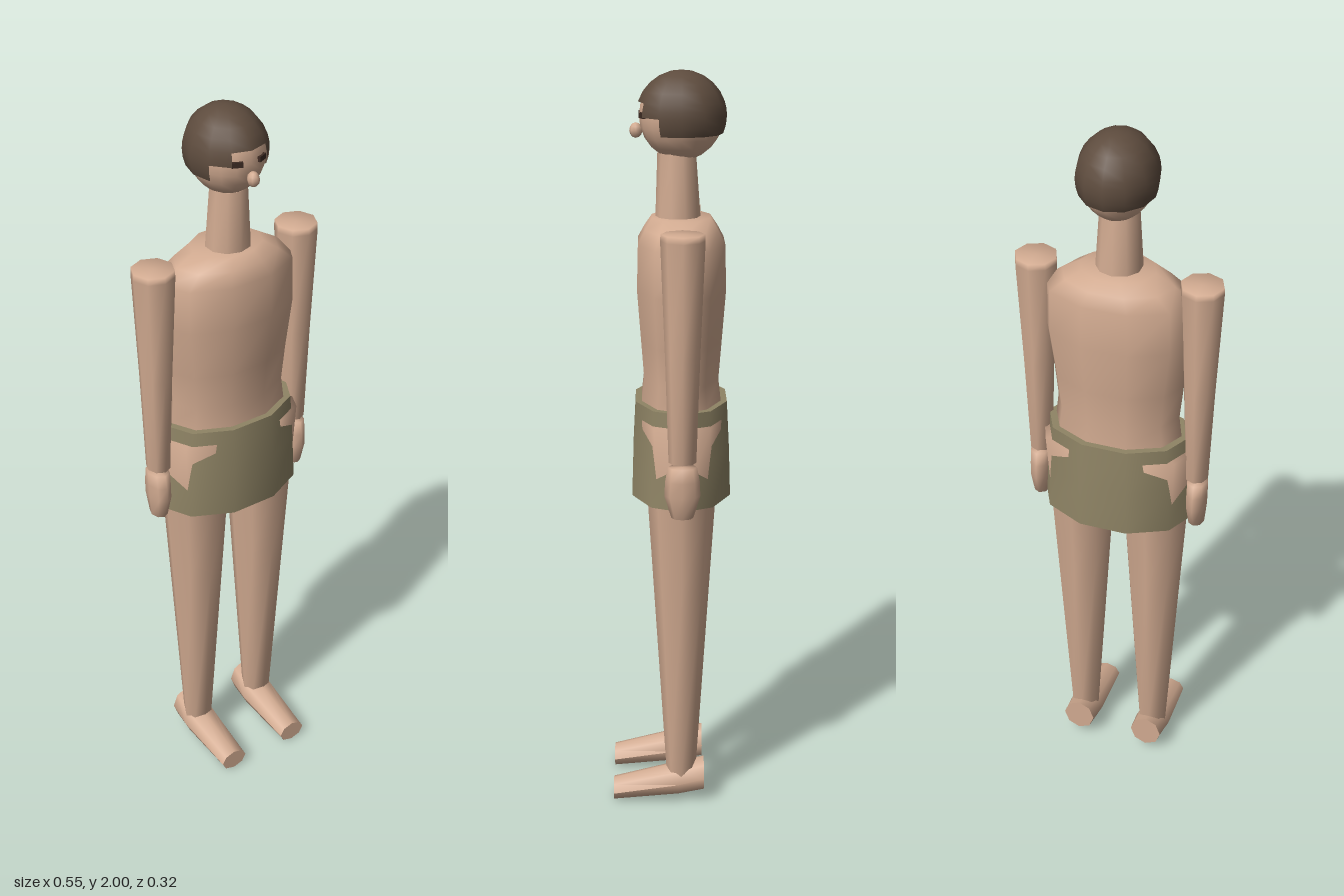
import * as THREE from 'three';
import { toCreasedNormals } from 'three/addons/utils/BufferGeometryUtils.js';

const AXIS_Z = -0.027; // body axis

function material(name, color) {
  const m = new THREE.MeshStandardMaterial({ color });
  m.name = name;
  return m;
}

// Closed smooth solid through elliptical rings [y, rx, rz, cz]
function loft(rings, sides, turn = 0) {
  const pos = [], index = [];
  for (const [y, rx, rz, cz = 0] of rings) {
    for (let i = 0; i < sides; i++) {
      const a = turn + (i / sides) * Math.PI * 2;
      pos.push(Math.sin(a) * rx, y, Math.cos(a) * rz + cz);
    }
  }
  const last = (rings.length - 1) * sides;
  const bottom = pos.length / 3, top = bottom + 1;
  for (const r of [rings[0], rings[rings.length - 1]]) pos.push(0, r[0], r[3] || 0);
  for (let i = 0; i < sides; i++) {
    const j = (i + 1) % sides;
    for (let r = 0; r < last; r += sides) {
      index.push(r + i, r + j, r + sides + j, r + i, r + sides + j, r + sides + i);
    }
    index.push(bottom, j, i, top, last + i, last + j);
  }
  const g = new THREE.BufferGeometry();
  g.setAttribute('position', new THREE.Float32BufferAttribute(pos, 3));
  g.setIndex(index);
  g.computeVertexNormals();
  return g;
}

export function createModel() {
  const model = new THREE.Group();
  model.name = 'figure';
  const skin = material('skin', 0xd2ab91);
  const hair = material('hair', 0x5e4c3e);
  hair.side = THREE.DoubleSide;
  const cloth = material('shorts cloth', 0x8f8465);
  const dark = material('eye', 0x3c2a22);

  function add(name, geometry, mat, x = 0, y = 0, z = AXIS_Z, parent = model) {
    const mesh = new THREE.Mesh(geometry, mat);
    mesh.name = name;
    mesh.position.set(x, y, z);
    parent.add(mesh);
    return mesh;
  }

  // Trunk, ten-sided with points at the flanks
  const flank = Math.PI / 10;
  add('torso', loft([
    [0.92, 0.175, 0.11], [1.14, 0.175, 0.11], [1.2, 0.168, 0.103], [1.3, 0.178, 0.111],
    [1.44, 0.198, 0.122], [1.56, 0.196, 0.119], [1.595, 0.15, 0.1], [1.625, 0.1, 0.08],
  ], 10, flank), skin);
  add('shorts', toCreasedNormals(loft([
    [0.88, 0.21, 0.138], [1.01, 0.203, 0.134], [1.14, 0.195, 0.127],
  ], 10, flank), 0.9), cloth);
  add('neck', toCreasedNormals(loft([
    [1.6, 0.062, 0.06, 0.008], [1.79, 0.05, 0.05, 0.012],
  ], 10), 0.9), skin);

  // Head
  const head = new THREE.Group();
  head.name = 'head';
  head.position.set(0, 1.884, AXIS_Z);
  model.add(head);
  add('skull', new THREE.SphereGeometry(1, 16, 12).scale(0.095, 0.114, 0.109), skin, 0, 0, 0, head);
  add('nose', new THREE.SphereGeometry(1, 8, 6).scale(0.016, 0.02, 0.017), skin, 0, -0.037, 0.117, head);

  // Hair: crown, fringe band open over the face, lower band round sides and back
  const deg = Math.PI / 180;
  const bands = [
    ['hairCrown', 90, 360, 0, 72, 5],
    ['hairFringe', 120, 300, 72, 90, 2],
    ['hairBack', 150, 240, 90, 113, 2],
  ];
  for (const [name, start, span, from, to, rows] of bands) {
    const g = new THREE.SphereGeometry(1, span / 30, rows,
      start * deg, span * deg, from * deg, (to - from) * deg);
    add(name, g.scale(0.104, 0.116, 0.117), hair, 0, 0, 0, head);
  }

  // Paired parts
  for (const [side, s] of [['left', 1], ['right', -1]]) {
    const eye = add(side + 'Eye', new THREE.BoxGeometry(0.028, 0.014, 0.009), dark,
      s * 0.036, 0.004, 0.1, head);
    eye.rotation.y = s * 0.42;

    add(side + 'Arm', loft([
      [1.02, 0.031, 0.036], [1.3, 0.042, 0.045], [1.6, 0.057, 0.057], [1.617, 0.056, 0.056],
    ], 8), skin, s * 0.22);
    add(side + 'Hand', loft([
      [0.87, 0.022, 0.029], [0.93, 0.028, 0.047], [0.97, 0.029, 0.045], [1.008, 0.029, 0.038],
    ], 8), skin, s * 0.222);

    add(side + 'Leg', loft([
      [0.08, 0.04, 0.04], [0.64, 0.075, 0.075], [0.88, 0.09, 0.09], [1.1, 0.105, 0.105],
    ], 8), skin, s * 0.105);

    // Foot lofted heel to toe, then laid forward
    const foot = loft([
      [-0.09, 0.045, 0.05, -0.075], [-0.02, 0.05, 0.046, -0.06], [0.16, 0.04, 0.03, -0.03],
    ], 8).rotateX(Math.PI / 2);
    add(side + 'Foot', toCreasedNormals(foot, 0.9), skin, s * 0.104, 0, 0);
  }
  return model;
}
